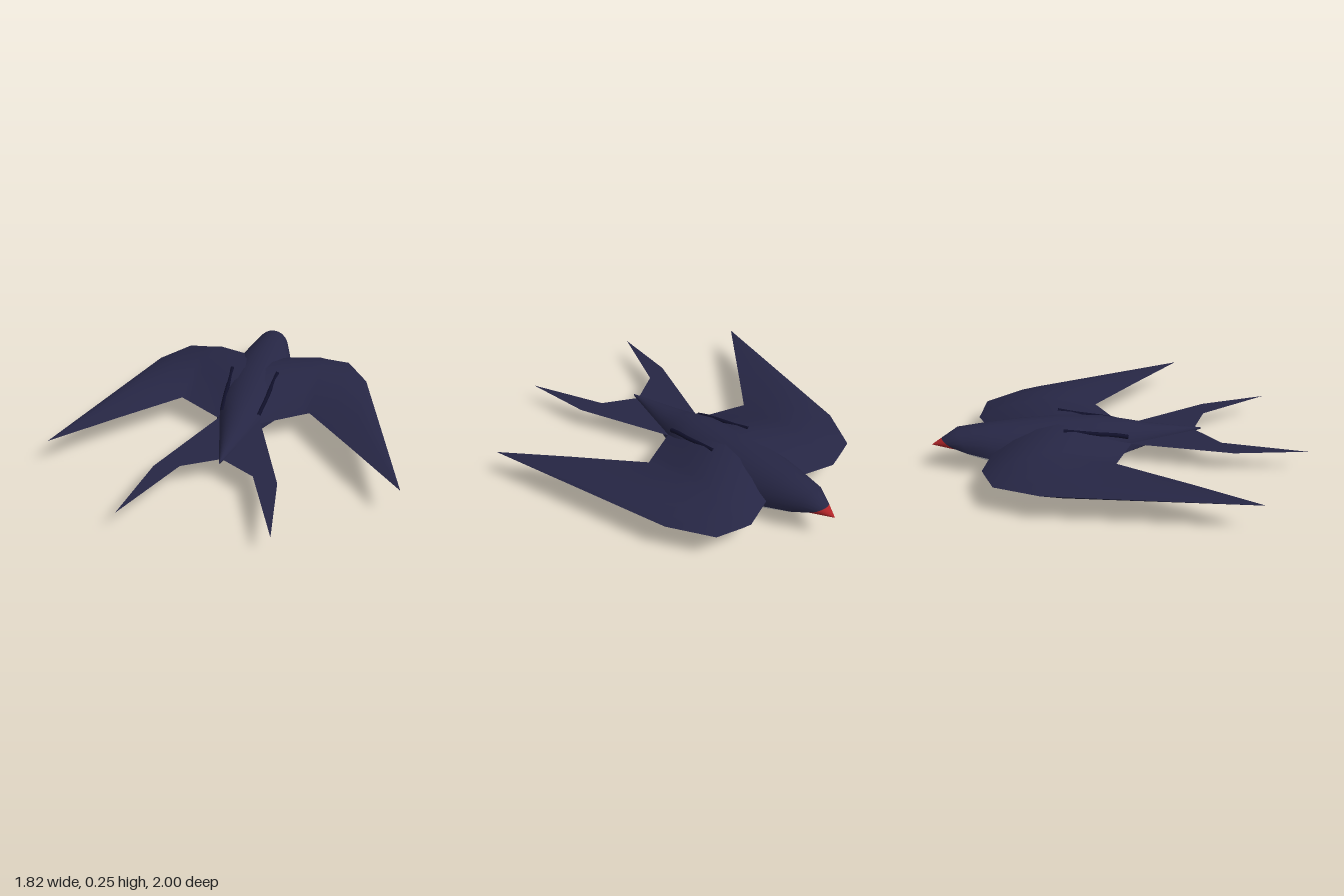
import * as THREE from 'three';

const SIDE = { side: THREE.DoubleSide };
const navy = new THREE.MeshStandardMaterial({ color: 0x262644, ...SIDE });
navy.name = 'navy plumage';
const ink = new THREE.MeshStandardMaterial({ color: 0x10102a });
ink.name = 'dark ink';
const white = new THREE.MeshStandardMaterial({ color: 0xd6d6d6, ...SIDE });
white.name = 'pale belly';
const red = new THREE.MeshStandardMaterial({ color: 0xb02428, ...SIDE });
red.name = 'beak red';

// Smooth skin over rows of points with equal counts
function skin(rows) {
  const n = rows[0].length, index = [];
  for (let i = 0; i < rows.length - 1; i++) {
    for (let j = 0; j < n - 1; j++) {
      const a = i * n + j, b = a + n;
      index.push(a, a + 1, b, b, a + 1, b + 1);
    }
  }
  const g = new THREE.BufferGeometry();
  g.setAttribute('position', new THREE.Float32BufferAttribute(rows.flat(2), 3));
  g.setIndex(index);
  g.computeVertexNormals();
  return g;
}

// Body stations: z, half width, top, bottom, height of widest line, slant in z
const TIP = [-1, 0, 0.14, 0.14, 0.14, 0];
const BODY = [
  [-0.89, 0.055, 0.173, 0.1, 0.135, -0.055],
  [-0.81, 0.105, 0.225, 0.077, 0.12, -0.05],
  [-0.68, 0.15, 0.235, 0.05, 0.095, 0],
  [-0.53, 0.19, 0.24, 0.002, 0.055, 0],
  [-0.3, 0.21, 0.245, 0, 0.03, 0],
  [-0.05, 0.17, 0.22, 0.035, 0.055, 0],
  [0.08, 0.12, 0.193, 0.055, 0.07, 0],
  [0.2, 0.085, 0.163, 0.071, 0.09, 0],
  [0.5, 0.002, 0.118, 0.107, 0.112, 0],
];

// Half an ellipse from one widest point over the top (or under the bottom) to the other
function arc([z, w, top, bottom, mid, slant], upper) {
  const pts = [];
  for (let i = 0; i <= 12; i++) {
    const a = (i / 12) * Math.PI, s = Math.sin(a);
    const y = mid + ((upper ? top : bottom) - mid) * s;
    pts.push([Math.cos(a) * w, y, z + slant * (upper ? s : -s)]);
  }
  return pts;
}

// Wing stations: x, front z, rear z, front edge y, rear edge y, top, bottom
const WING = [
  [0, -0.64, 0.13, 0.13, 0.11, 0.235, 0.045],
  [0.14, -0.68, 0.065, 0.13, 0.11, 0.235, 0.03],
  [0.32, -0.74, -0.025, 0.13, 0.13, 0.215, 0.04],
  [0.37, -0.727, -0.05, 0.13, 0.135, 0.207, 0.053],
  [0.51, -0.69, 0.11, 0.14, 0.14, 0.187, 0.082],
  [0.64, -0.47, 0.26, 0.145, 0.145, 0.172, 0.108],
  [0.91, 0.57, 0.57, 0.15, 0.15, 0.15, 0.15],
];
const CHORD = [[0, 0], [0.15, 0.6], [0.3, 0.9], [0.45, 1], [0.6, 0.85], [0.78, 0.5], [1, 0]];

function wingSurface(upper) {
  return skin(WING.map(([x, zf, zr, yf, yr, top, bottom]) => CHORD.map(([t, h]) => {
    const edge = yf + (yr - yf) * t;
    return [x, edge + ((upper ? top : bottom) - edge) * h, zf + (zr - zf) * t];
  })));
}

export function createModel() {
  const model = new THREE.Group();
  model.name = 'swallow';
  const add = (name, geometry, material, parent = model) => {
    const mesh = new THREE.Mesh(geometry, material);
    mesh.name = name;
    parent.add(mesh);
    return mesh;
  };

  // Body, split along its widest line
  add('back', skin(BODY.map((s) => arc(s, true))), navy);
  add('belly', skin(BODY.slice(0, 7).map((s) => arc(s, false))), white);
  add('undertail', skin(BODY.slice(6).map((s) => arc(s, false))), navy);

  // Beak
  add('beakTop', skin([TIP, BODY[0]].map((s) => arc(s, true))), red);
  add('beakBottom', skin([TIP, BODY[0]].map((s) => arc(s, false))), red);

  // Wings, each with a dark seam along its root
  const upper = wingSurface(true), lower = wingSurface(false);
  const seam = new THREE.TubeGeometry(new THREE.CatmullRomCurve3([
    [0.135, 0.226, -0.3], [0.125, 0.203, -0.2], [0.12, 0.183, -0.1],
    [0.11, 0.164, 0], [0.103, 0.146, 0.06],
  ].map((p) => new THREE.Vector3(...p))), 16, 0.012, 6);
  for (const [side, sx] of [['left', 1], ['right', -1]]) {
    const wing = new THREE.Group();
    wing.name = side + 'Wing';
    wing.scale.x = sx;
    add(side + 'WingTop', upper, navy, wing);
    add(side + 'WingUnderside', lower, navy, wing);
    add(side + 'WingSeam', seam, ink, wing);
    model.add(wing);
  }

  // Flat forked tail
  const half = [[0.11, 0.05], [0.32, 0.6], [0.37, 1], [0.19, 0.57]];
  const outline = [...half, [0, 0.46], ...half.map(([x, z]) => [-x, z]).reverse()];
  const tail = new THREE.ShapeGeometry(new THREE.Shape(outline.map((p) => new THREE.Vector2(...p))));
  tail.rotateX(Math.PI / 2);
  add('forkedTail', tail, navy).position.y = 0.11;

  return model;
}
